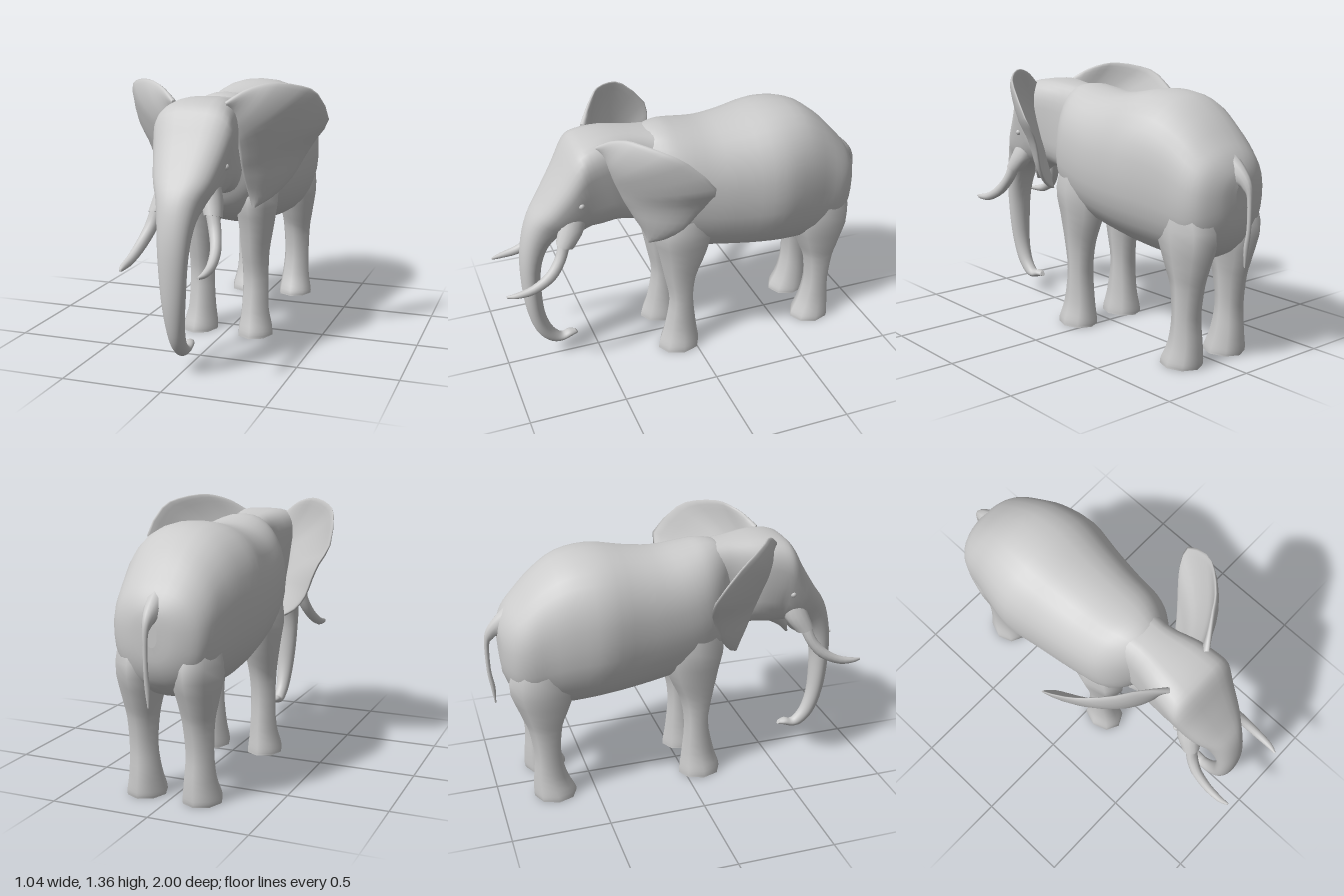
import * as THREE from 'three';

const V = (x, y, z) => new THREE.Vector3(x, y, z);
const material = new THREE.MeshStandardMaterial({ color: 0xcccccc, side: THREE.DoubleSide });

// Smooth loft through rings. Each ring spans from point a to point b, with half-width vector w;
// c bows its middle. power(t) below 1 makes the ring boxier, egg(t) widens it towards a.
function loft(rings, { sides = 24, steps = 3, power = () => 1, egg = () => 0 } = {}) {
  const curves = ['a', 'b', 'w', 'c'].map(k =>
    new THREE.CatmullRomCurve3(rings.map(r => r[k] ?? V(0, 0, 0)), false, 'catmullrom', 0.5));
  const rows = (rings.length - 1) * steps;
  const pos = [], idx = [];
  for (let i = 0; i <= rows; i++) {
    const t = i / rows;
    const [a, b, w, c] = curves.map(curve => curve.getPoint(t));
    const mid = a.clone().add(b).multiplyScalar(0.5), half = a.clone().sub(mid);
    const shape = v => Math.sign(v) * Math.abs(v) ** power(t);
    for (let j = 0; j < sides; j++) {
      const angle = (j / sides) * Math.PI * 2;
      const u = shape(Math.cos(angle)), v = shape(Math.sin(angle)) * (1 + egg(t) * u);
      const p = mid.clone().addScaledVector(half, u).addScaledVector(w, v).addScaledVector(c, 1 - u * u);
      pos.push(p.x, p.y, p.z);
    }
  }
  for (let i = 0; i < rows; i++) for (let j = 0; j < sides; j++) {
    const k = (j + 1) % sides, p = i * sides, q = p + sides;
    idx.push(p + j, p + k, q + j, p + k, q + k, q + j);
  }
  // end caps with their own vertices keep their rims sharp
  for (const row of [0, rows]) {
    const base = pos.length / 3;
    pos.push(...pos.slice(row * sides * 3, (row + 1) * sides * 3));
    for (let j = 1; j < sides - 1; j++) {
      idx.push(base, base + (row ? j : j + 1), base + (row ? j + 1 : j));
    }
  }
  // turn all faces outward
  const at = i => V(pos[i * 3], pos[i * 3 + 1], pos[i * 3 + 2]);
  let volume = 0;
  for (let i = 0; i < idx.length; i += 3) volume += at(idx[i]).dot(at(idx[i + 1]).cross(at(idx[i + 2])));
  if (volume < 0) idx.reverse();
  const g = new THREE.BufferGeometry();
  g.setAttribute('position', new THREE.Float32BufferAttribute(pos, 3));
  g.setIndex(idx);
  g.computeVertexNormals();
  return g;
}

// Ring given in side profile: z and y of both ends, half-width, centre x
const profile = rows => rows.map(([az, ay, bz, by, w, x = 0]) => ({ a: V(x, ay, az), b: V(x, by, bz), w: V(w, 0, 0) }));
// Level ring of a leg: y, front z, back z, inner x, outer x
const legRings = (rows, s) => rows.map(([y, zf, zb, xi, xo]) => {
  const x = s * (xi + xo) / 2;
  return { a: V(x, y, zf), b: V(x, y, zb), w: V((xo - xi) / 2, 0, 0) };
});

const BODY = [
  [0.29, 1.2, 0.3, 0.86, 0.09], [0.22, 1.262, 0.27, 0.78, 0.15], [0.13, 1.28, 0.235, 0.71, 0.215],
  [0.04, 1.27, 0.16, 0.64, 0.258], [-0.1, 1.255, -0.02, 0.575, 0.283], [-0.25, 1.27, -0.24, 0.535, 0.31],
  [-0.43, 1.30, -0.43, 0.515, 0.338], [-0.6, 1.28, -0.58, 0.50, 0.31], [-0.73, 1.20, -0.7, 0.50, 0.275],
  [-0.83, 1.10, -0.8, 0.53, 0.25], [-0.89, 1.03, -0.87, 0.59, 0.205], [-0.925, 0.96, -0.915, 0.68, 0.12],
  [-0.935, 0.9, -0.93, 0.78, 0.03],
];
const HEAD = [
  [0.05, 1.25, 0.12, 0.76, 0.18], [0.25, 1.27, 0.25, 0.78, 0.14], [0.42, 1.285, 0.38, 0.81, 0.17],
  [0.54, 1.27, 0.46, 0.80, 0.18], [0.6, 1.23, 0.53, 0.79, 0.18], [0.67, 1.11, 0.57, 0.79, 0.168],
  [0.76, 0.97, 0.62, 0.79, 0.145], [0.83, 0.87, 0.67, 0.77, 0.11], [0.87, 0.75, 0.74, 0.70, 0.087],
  [0.89, 0.60, 0.785, 0.57, 0.073], [0.885, 0.40, 0.79, 0.40, 0.06], [0.86, 0.25, 0.78, 0.28, 0.047],
  [0.82, 0.15, 0.752, 0.19, 0.038], [0.76, 0.09, 0.715, 0.14, 0.032], [0.7, 0.08, 0.69, 0.125, 0.03],
  [0.64, 0.1, 0.66, 0.135, 0.028], [0.61, 0.105, 0.625, 0.13, 0.014],
];
const LIP = [
  [0.62, 0.84, 0.42, 0.81, 0.09], [0.62, 0.80, 0.5, 0.785, 0.07],
  [0.63, 0.75, 0.58, 0.74, 0.045], [0.64, 0.70, 0.63, 0.69, 0.015],
];
const FRONT_LEG = [
  [0, 0.2, -0.03, 0.06, 0.25], [0.035, 0.195, -0.028, 0.062, 0.247], [0.13, 0.165, -0.015, 0.075, 0.225],
  [0.3, 0.135, 0.0, 0.08, 0.22], [0.45, 0.16, -0.02, 0.07, 0.225], [0.6, 0.19, -0.085, 0.055, 0.245],
  [0.75, 0.215, -0.12, 0.04, 0.262], [0.95, 0.14, -0.1, 0.08, 0.235],
];
const BACK_LEG = [
  [0, -0.6, -0.82, 0.05, 0.245], [0.03, -0.605, -0.825, 0.052, 0.243], [0.12, -0.645, -0.82, 0.065, 0.225],
  [0.25, -0.67, -0.81, 0.075, 0.22], [0.4, -0.655, -0.83, 0.065, 0.225], [0.5, -0.615, -0.865, 0.05, 0.24],
  [0.68, -0.56, -0.91, 0.02, 0.262], [0.92, -0.62, -0.8, 0.06, 0.235],
];
const SOCKET = [
  [0.65, 0.98, 0.54, 0.95, 0.04, 0.085], [0.695, 0.86, 0.57, 0.83, 0.053, 0.115], [0.725, 0.775, 0.635, 0.745, 0.045, 0.14],
];
const TUSK = [
  [0.71, 0.80, 0.65, 0.77, 0.036, 0.135], [0.735, 0.715, 0.69, 0.68, 0.032, 0.16], [0.79, 0.645, 0.755, 0.60, 0.027, 0.185],
  [0.87, 0.595, 0.86, 0.55, 0.022, 0.197], [0.95, 0.572, 0.95, 0.543, 0.016, 0.197], [1, 0.56, 1, 0.548, 0.006, 0.187],
];
const TAIL = [
  [-0.88, 1.04, -0.9, 0.86, 0.05], [-0.94, 0.985, -0.935, 0.885, 0.035], [-0.985, 0.925, -0.955, 0.87, 0.022],
  [-1, 0.85, -0.975, 0.84, 0.013], [-0.998, 0.7, -0.977, 0.7, 0.011], [-0.985, 0.6, -0.962, 0.6, 0.013], [-0.972, 0.51, -0.965, 0.51, 0.004],
];
// Ear: outer rim x, y, z, then the matching point of the root x, y, z
const EAR = [
  [0.13, 1.27, 0.49, 0.12, 1.24, 0.48], [0.2, 1.32, 0.44, 0.14, 1.2, 0.46], [0.28, 1.35, 0.385, 0.155, 1.16, 0.45],
  [0.35, 1.355, 0.34, 0.165, 1.13, 0.44], [0.44, 1.335, 0.25, 0.17, 1.1, 0.43], [0.495, 1.29, 0.16, 0.17, 1.07, 0.42],
  [0.52, 1.15, 0.03, 0.17, 1.02, 0.4], [0.46, 1.05, 0.04, 0.17, 0.97, 0.38], [0.41, 0.96, 0.08, 0.17, 0.92, 0.355],
  [0.36, 0.86, 0.13, 0.175, 0.86, 0.325], [0.28, 0.77, 0.2, 0.18, 0.79, 0.285], [0.2, 0.72, 0.25, 0.19, 0.725, 0.26],
];

export function createModel() {
  const model = new THREE.Group();
  const add = (name, geometry) => {
    const mesh = new THREE.Mesh(geometry, material);
    mesh.name = name;
    model.add(mesh);
    return mesh;
  };

  add('body', loft(profile(BODY), { sides: 32, power: () => 0.88, egg: () => 0.04 }));
  // square, broad brow easing into a round trunk
  add('headAndTrunk', loft(profile(HEAD), {
    sides: 32,
    power: t => 0.6 + 0.4 * Math.min(1, Math.max(0, t - 0.2) * 2.5),
    egg: t => 0.28 * Math.max(0, 1 - Math.abs(t - 0.25) * 5),
  }));
  add('lowerLip', loft(profile(LIP), { sides: 16 }));
  add('tail', loft(profile(TAIL), { sides: 10 }));

  // paired parts
  for (const [side, s] of [['left', 1], ['right', -1]]) {
    const paired = rows => profile(rows.map(r => [...r.slice(0, 5), s * r[5]]));
    add(side + 'FrontLeg', loft(legRings(FRONT_LEG, s), { sides: 8 }));
    add(side + 'BackLeg', loft(legRings(BACK_LEG, s), { sides: 8 }));
    add(side + 'TuskSocket', loft(paired(SOCKET), { sides: 14 }));
    add(side + 'Tusk', loft(paired(TUSK), { sides: 12 }));
    // thin ear bowed forward in the middle
    add(side + 'Ear', loft(EAR.map(([x, y, z, u, v, t]) => ({
      a: V(s * x, y, z), b: V(s * u, v, t), w: V(s * 0.011, 0, 0.011),
      c: V(s * 0.06, 0, 0.08).multiplyScalar(Math.hypot(x - u, z - t)),
    })), { sides: 20, steps: 2, power: () => 0.9 }));
    const eye = add(side + 'Eye', new THREE.SphereGeometry(0.016, 12, 8));
    eye.position.set(s * 0.17, 0.98, 0.59);
  }
  return model;
}
